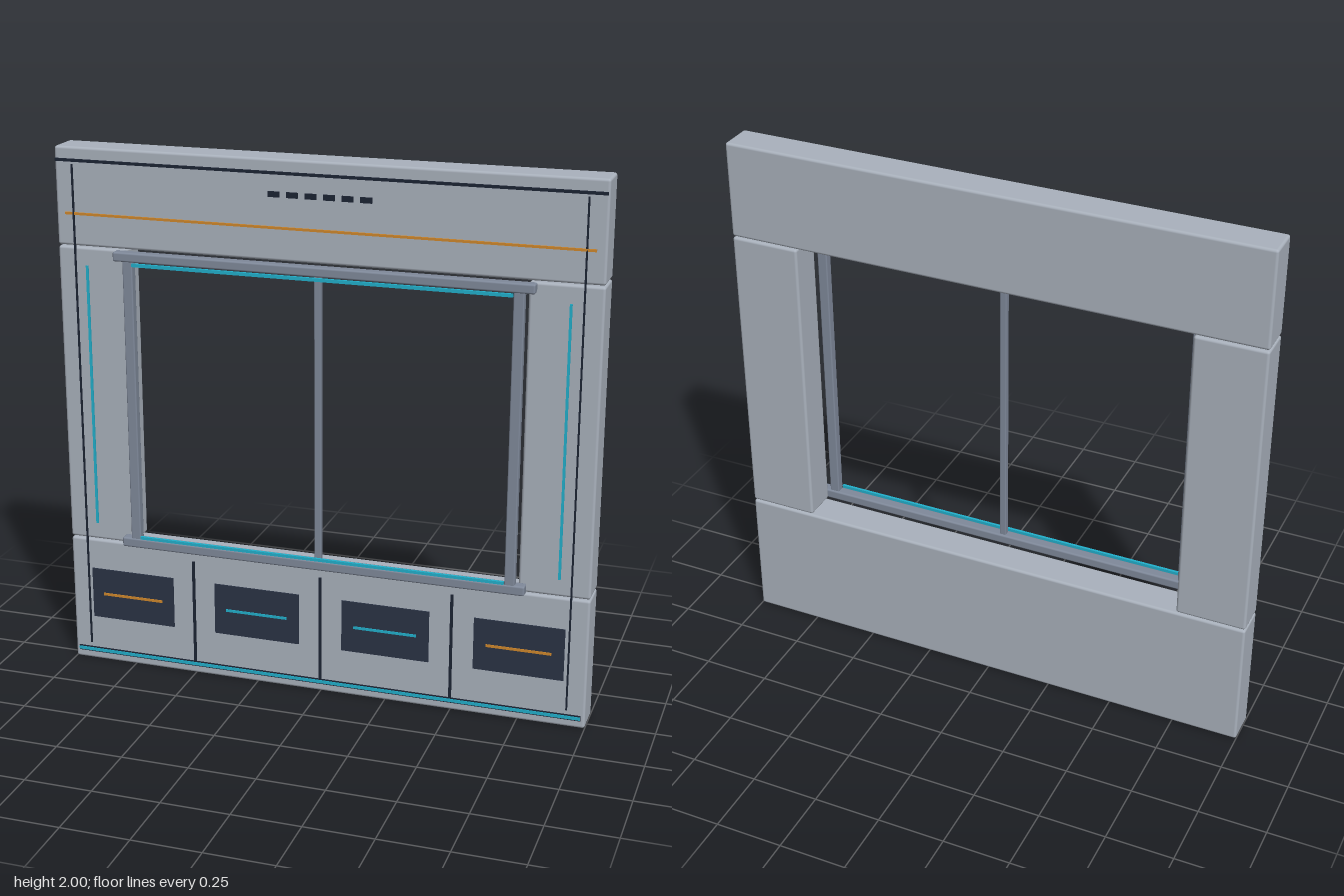
import * as THREE from 'three';
import { RoundedBoxGeometry } from 'three/addons/geometries/RoundedBoxGeometry.js';

const mat = (name, color) => {
  const m = new THREE.MeshStandardMaterial({ color });
  m.name = name;
  return m;
};

export function createModel() {
  const panel = mat('panel grey', 0xaab2bd);
  const frame = mat('frame grey', 0x808a9b);
  const navy = mat('plate navy', 0x2a3345);
  const seam = mat('seam dark', 0x1c2433);
  const cyan = mat('cyan accent', 0x22b0cc);
  const amber = mat('amber accent', 0xd0882c);

  const BACK = -0.087, FACE = 0.043;
  const group = new THREE.Group();

  // box given by its extents; a radius rounds the edges
  const box = (name, material, x0, x1, y0, y1, z0, z1, radius = 0) => {
    const s = [x1 - x0, y1 - y0, z1 - z0];
    const geo = radius ? new RoundedBoxGeometry(...s, 2, radius) : new THREE.BoxGeometry(...s);
    const mesh = new THREE.Mesh(geo, material);
    mesh.name = name;
    mesh.position.set((x0 + x1) / 2, (y0 + y1) / 2, (z0 + z1) / 2);
    group.add(mesh);
    return mesh;
  };
  // thin strip on the wall face, given by centre and size
  const strip = (name, material, x, y, w, h, z = FACE, t = 0.006) =>
    box(name, material, x - w / 2, x + w / 2, y - h / 2, y + h / 2, z - 0.002, z + t);

  // wall slabs around the opening
  box('lowerWall', panel, -1, 1, 0, 0.5, BACK, FACE, 0.01);
  box('upperWall', panel, -1, 1, 1.64, 2, BACK, FACE, 0.01);
  box('leftWall', panel, 0.74, 1, 0.504, 1.636, BACK, FACE, 0.01);
  box('rightWall', panel, -1, -0.74, 0.504, 1.636, BACK, FACE, 0.01);

  // window frame
  box('topRail', frame, -0.77, 0.77, 1.602, 1.637, FACE - 0.001, 0.083, 0.007);
  box('bottomRail', frame, -0.77, 0.77, 0.503, 0.54, FACE - 0.001, 0.083, 0.007);
  for (const s of [-1, 1]) {
    const x = s * 0.715;
    box(s > 0 ? 'leftJamb' : 'rightJamb', frame, x - 0.019, x + 0.019, 0.53, 1.61, 0.048, 0.08, 0.005);
  }
  box('mullion', frame, -0.012, 0.012, 0.53, 1.61, 0.05, 0.074, 0.003);
  box('topLight', cyan, -0.695, 0.695, 1.588, 1.6, 0.077, 0.087);
  box('bottomLight', cyan, -0.695, 0.695, 0.541, 0.552, 0.077, 0.087);

  // header trim and vents
  strip('headerSeam', seam, 0, 1.952, 1.99, 0.01, FACE, 0.008);
  strip('headerStripe', amber, 0, 1.759, 1.93, 0.009);
  for (let i = 0; i < 6; i++) strip('ventSlot', seam, (i - 2.5) * 0.067, 1.877, 0.042, 0.02);

  // vertical seams and side lights
  for (const s of [-1, 1]) {
    strip('edgeSeam', seam, s * 0.932, 1.003, 0.006, 1.87);
    strip('sideLight', cyan, s * 0.887, 1.07, 0.009, 1.0);
  }

  // lower wall: base stripe, dividers and inset plates
  strip('baseSeam', seam, 0, 0.04, 1.97, 0.02, FACE, 0.004);
  strip('baseLight', cyan, 0, 0.04, 1.968, 0.012, FACE, 0.007);
  for (const x of [-0.5, 0, 0.5]) strip('dividerSeam', seam, x, 0.255, 0.01, 0.41);
  for (const x of [-0.75, -0.25, 0.25, 0.75]) {
    strip('accessPlate', navy, x, 0.281, 0.333, 0.2, FACE, 0.005);
    strip('plateStripe', Math.abs(x) > 0.5 ? amber : cyan, x, 0.28, 0.24, 0.01, FACE, 0.008);
  }
  return group;
}
